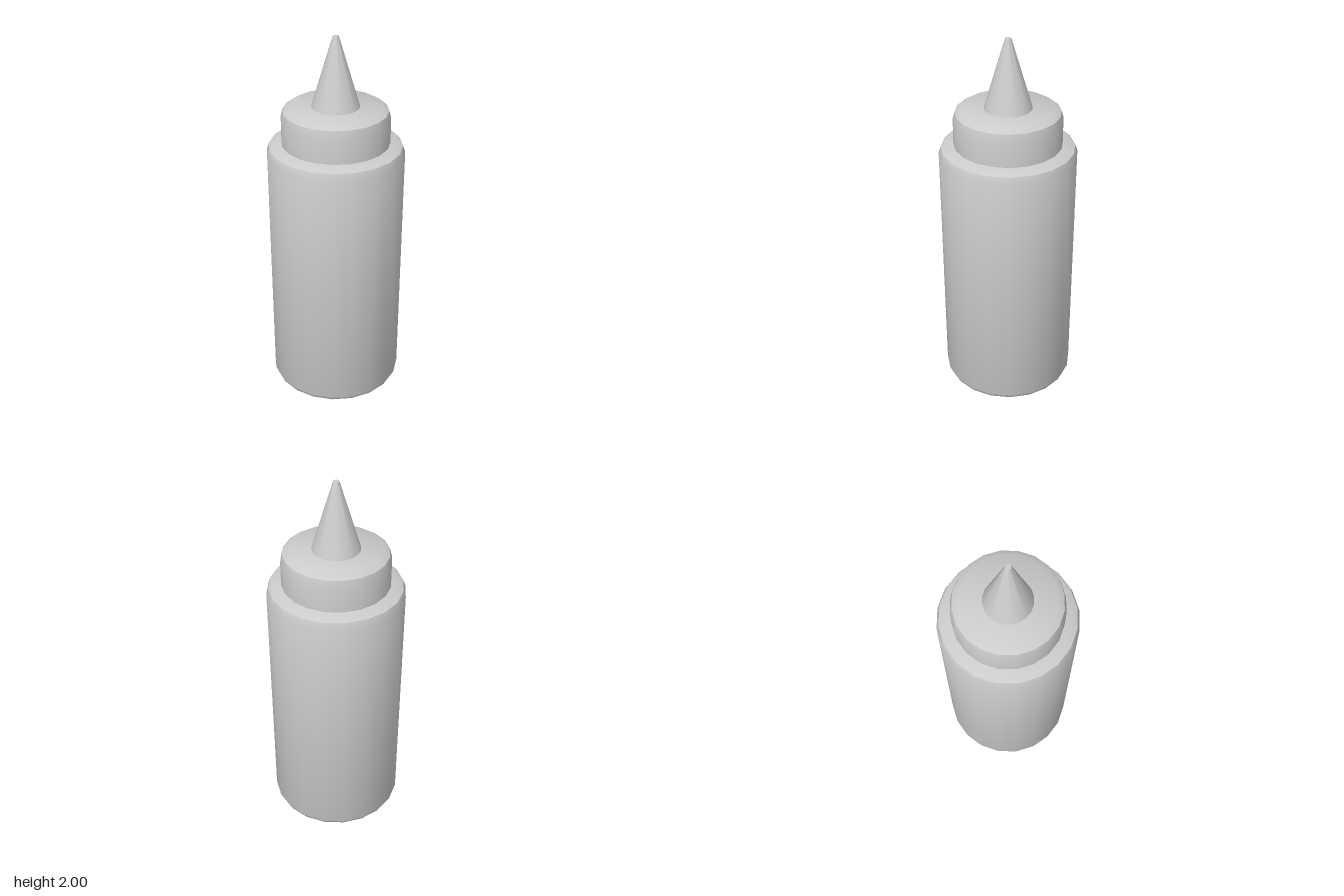
import * as THREE from 'three';
import { toCreasedNormals } from 'three/addons/utils/BufferGeometryUtils.js';

const SIDES = 20;

// Turned part from [radius, height] pairs, listed from bottom to top
function turned(name, profile, material) {
  const points = profile.map(([r, y]) => new THREE.Vector2(r, y));
  const geometry = toCreasedNormals(new THREE.LatheGeometry(points, SIDES), 0.6);
  const mesh = new THREE.Mesh(geometry, material);
  mesh.name = name;
  return mesh;
}

export function createModel() {
  const group = new THREE.Group();
  group.name = 'squeezeBottle';
  const material = new THREE.MeshStandardMaterial({ color: 0xcccccc });

  // Body with a chamfered foot and a bevelled shoulder
  group.add(turned('body', [
    [0, 0], [0.335, 0], [0.35, 0.012], [0.36, 0.035],
    [0.36, 1.39], [0.348, 1.423], [0.312, 1.44], [0, 1.44],
  ], material));

  // Screw cap with a bevelled rim
  group.add(turned('cap', [
    [0, 1.43], [0.282, 1.43], [0.282, 1.575],
    [0.272, 1.615], [0.242, 1.635], [0, 1.635],
  ], material));

  // Tapered nozzle with a small flat tip
  group.add(turned('nozzle', [
    [0, 1.625], [0.126, 1.63], [0.02, 1.985], [0.015, 2], [0, 2],
  ], material));

  return group;
}
